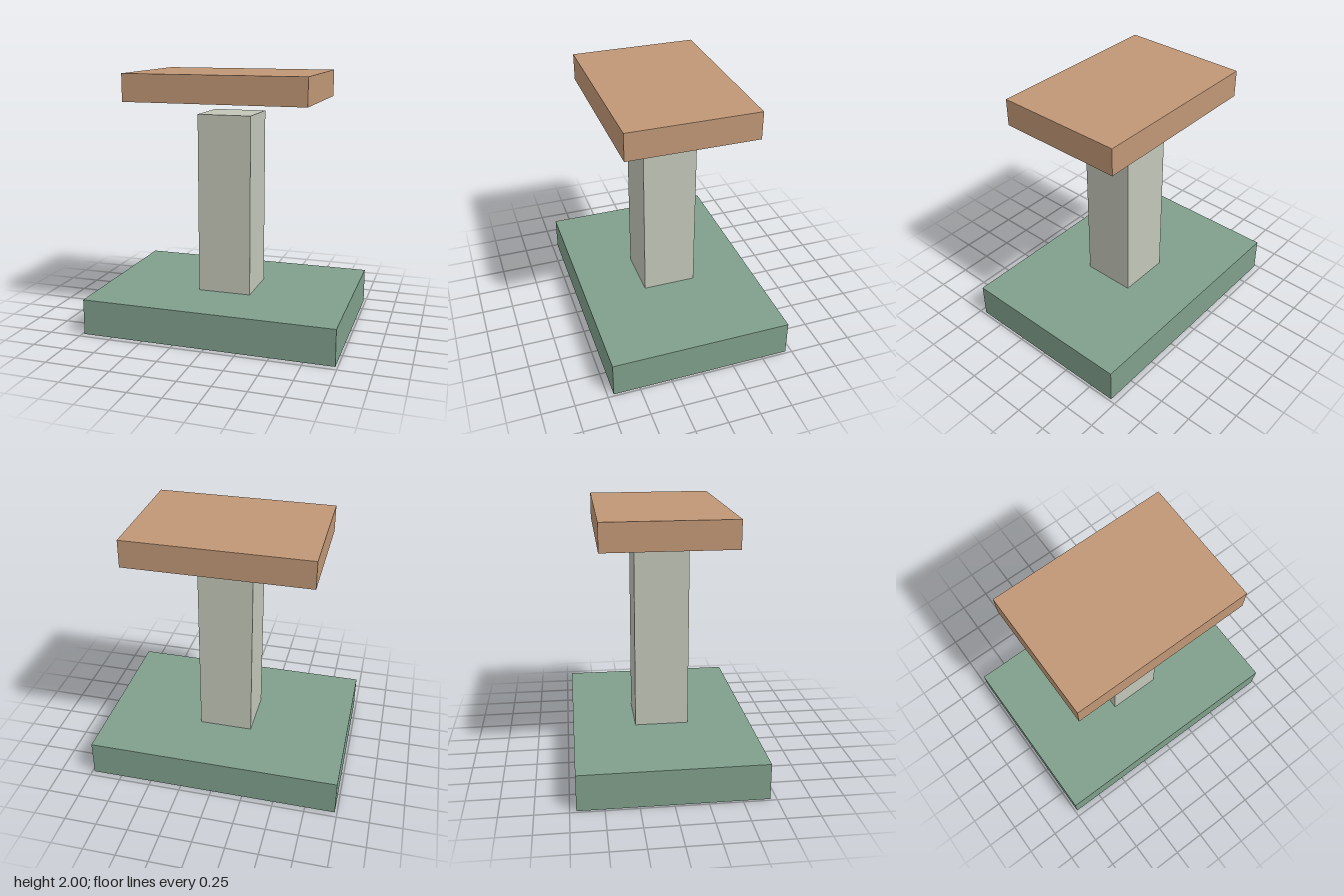
import * as THREE from 'three';

// Adds a named box whose underside sits at height y.
function addBlock(group, name, [w, h, d], y, color) {
  const mesh = new THREE.Mesh(
    new THREE.BoxGeometry(w, h, d),
    new THREE.MeshStandardMaterial({ color })
  );
  mesh.name = name;
  mesh.position.y = y + h / 2;
  group.add(mesh);
}

export function createModel() {
  const group = new THREE.Group();
  group.name = 'pedestal';

  // Wide plinth on the ground
  addBlock(group, 'base', [1.965, 0.28, 1.405], 0, 0x7f9f8b);
  // Square post standing on the plinth
  addBlock(group, 'column', [0.42, 1.405, 0.42], 0.28, 0xc2c6b8);
  // Top slab, floating clear of the post
  addBlock(group, 'topSlab', [1.405, 0.21, 0.985], 1.79, 0xc09776);

  return group;
}
